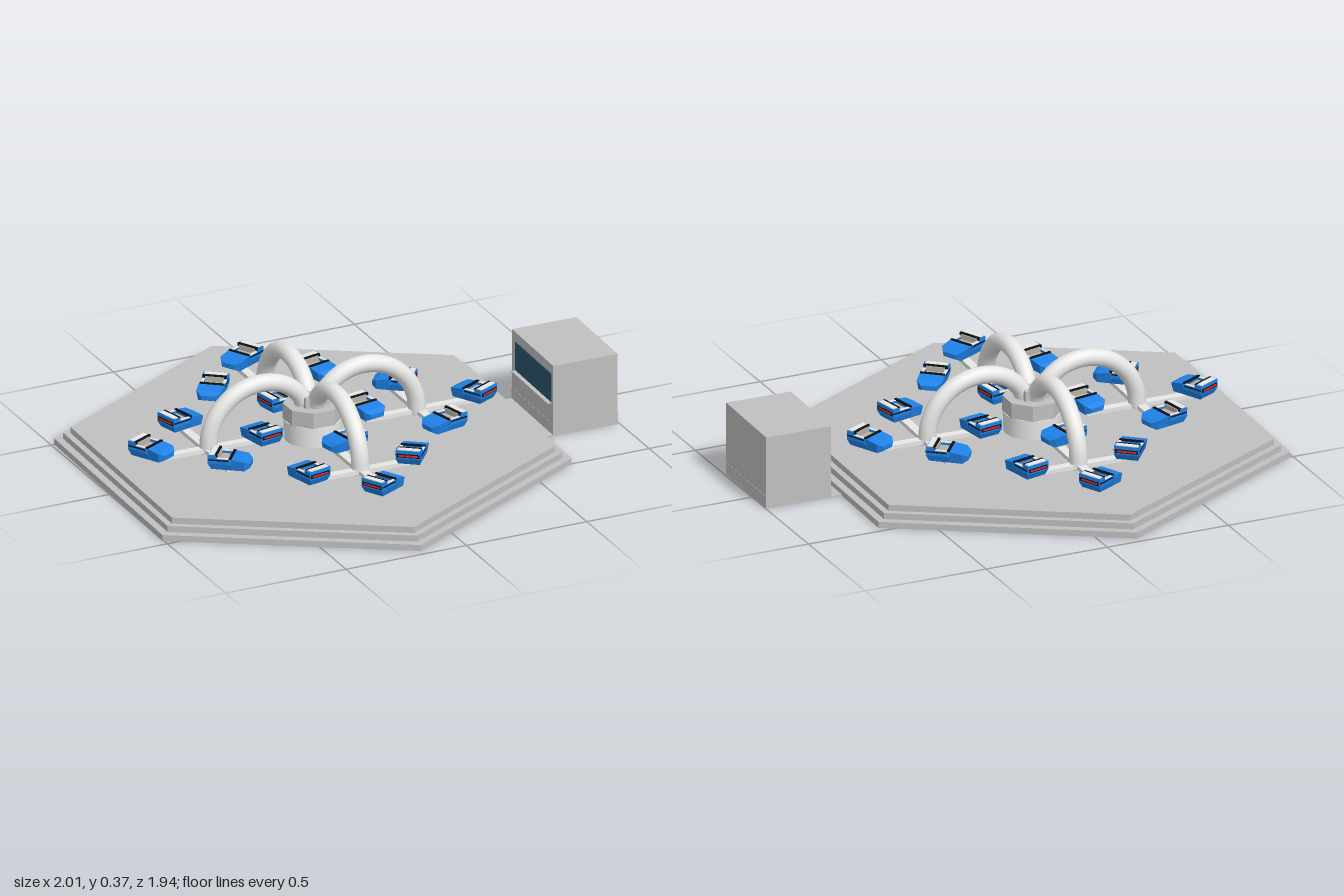
import * as THREE from 'three';

const mat = (name, color) => {
  const m = new THREE.MeshStandardMaterial({ color });
  m.name = name;
  return m;
};

export function createModel() {
  const stone = mat('platformGrey', 0xc0c0c0);
  const steel = mat('lightSteel', 0xe8e8e6);
  const blue = mat('carBlue', 0x1f84ec);
  const white = mat('trimWhite', 0xf0f0ee);
  const seatGrey = mat('seatGrey', 0xb8b2a8);
  const black = mat('black', 0x101010);
  const red = mat('lampRed', 0xe02c1c);
  const glass = mat('windowGlass', 0x2a566a);

  const add = (parent, name, geo, material, x = 0, y = 0, z = 0) => {
    const m = new THREE.Mesh(geo, material);
    m.name = name;
    m.position.set(x, y, z);
    parent.add(m);
    return m;
  };
  const box = (parent, name, w, h, d, material, x, y, z) =>
    add(parent, name, new THREE.BoxGeometry(w, h, d), material, x, y, z);
  // Few-sided prism with hard edges
  const prism = (r, h, sides) => {
    const g = new THREE.CylinderGeometry(r, r, h, sides).toNonIndexed();
    g.computeVertexNormals();
    return g;
  };
  const group = (parent, name) => {
    const g = new THREE.Group();
    g.name = name;
    parent.add(g);
    return g;
  };
  // Box whose corners are moved by a rule
  const shaped = (w, h, d, segments, rule) => {
    const g = new THREE.BoxGeometry(w, h, d, 1, 1, segments).toNonIndexed();
    const p = g.attributes.position, v = new THREE.Vector3();
    for (let i = 0; i < p.count; i++) {
      rule(v.fromBufferAttribute(p, i));
      p.setXYZ(i, v.x, v.y, v.z);
    }
    g.computeVertexNormals();
    return g;
  };

  const root = new THREE.Group();
  root.name = 'spinningRide';
  const ride = group(root, 'ride');
  ride.position.x = -0.155;
  ride.rotation.y = -0.02;

  // Three stepped hexagonal tiers
  [0.972, 0.938, 0.91].forEach((r, i) =>
    add(ride, 'platformTier', prism(r, 0.0243, 6), stone, 0, 0.0122 + i * 0.0243, 0));

  // Control booth with window, counter and threshold
  const booth = group(ride, 'controlBooth');
  booth.position.set(1.018, 0, 0.04);
  box(booth, 'boothBody', 0.265, 0.24, 0.37, stone, 0, 0.168, 0);
  box(booth, 'boothBase', 0.267, 0.048, 0.372, stone, 0, 0.024, 0);
  box(booth, 'threshold', 0.06, 0.005, 0.372, stone, -0.16, 0.0025, 0);
  box(booth, 'boothWindow', 0.006, 0.115, 0.32, glass, -0.133, 0.193, 0.012);
  box(booth, 'counter', 0.02, 0.006, 0.32, stone, -0.142, 0.132, 0.012);

  // Rotor, leaning slightly
  const rotor = group(ride, 'rotor');
  rotor.rotation.x = -0.02;
  add(rotor, 'hubDrum', new THREE.CylinderGeometry(0.108, 0.108, 0.08, 32), steel, 0, 0.11, 0);
  const hub = add(rotor, 'hubHousing', prism(0.112, 0.062, 8), stone, 0, 0.181, 0);
  hub.rotation.y = Math.PI / 8;
  box(rotor, 'hubCap', 0.1, 0.04, 0.1, stone, 0, 0.232, 0);

  // Open car, nose toward +z: blunt wedge with cut corners, then the tub
  const noseGeo = shaped(0.098, 0.046, 0.07, 2, v => {
    if (v.y < 0) v.x *= 0.85;
    if (v.z > 0.01) {
      v.x *= 0.6;
      v.y = v.y > 0 ? 0.004 : -0.014;
    } else if (v.z > -0.01) {
      v.z += 0.016;
      if (v.y > 0) v.y = 0.015;
    }
  });
  const hullGeo = shaped(0.098, 0.024, 0.09, 1, v => {
    if (v.y < 0) {
      v.x *= 0.85;
      if (v.z < 0) v.z += 0.012;
    }
  });
  const makeCar = parent => {
    const car = group(parent, 'car');
    add(car, 'carNose', noseGeo, blue, 0, 0.138, 0.043);
    add(car, 'carHull', hullGeo, blue, 0, 0.127, -0.035);
    box(car, 'seat', 0.074, 0.012, 0.046, seatGrey, 0, 0.144, -0.021);
    box(car, 'dashboard', 0.094, 0.006, 0.01, black, 0, 0.162, 0.006);
    box(car, 'seatBack', 0.072, 0.03, 0.006, seatGrey, 0, 0.154, -0.043);
    box(car, 'headrestBar', 0.092, 0.01, 0.009, black, 0, 0.169, -0.049);
    box(car, 'rearBody', 0.098, 0.034, 0.032, blue, 0, 0.155, -0.063);
    box(car, 'rearDeck', 0.086, 0.003, 0.022, white, 0, 0.1732, -0.065);
    box(car, 'rearBand', 0.088, 0.014, 0.002, black, 0, 0.152, -0.08);
    box(car, 'tailLamps', 0.076, 0.007, 0.003, red, 0, 0.152, -0.081);
    for (const s of [-1, 1]) {
      box(car, 'carSide', 0.013, 0.02, 0.05, blue, s * 0.0425, 0.149, -0.022);
      box(car, 'sideTrim', 0.011, 0.002, 0.046, white, s * 0.042, 0.16, -0.022);
      box(car, 'sideStripe', 0.002, 0.005, 0.078, black, s * 0.0492, 0.154, -0.038);
    }
    return car;
  };

  // Arch centre line, running out along -z
  const arch = new THREE.CatmullRomCurve3(
    [[0.03, 0.2], [0.055, 0.255], [0.12, 0.308], [0.215, 0.328], [0.315, 0.302],
      [0.39, 0.235], [0.422, 0.165], [0.43, 0.1]].map(([r, y]) => new THREE.Vector3(0, y, -r)));
  const archGeo = new THREE.TubeGeometry(arch, 40, 0.034, 16);

  // Cars at the cross ends: offset x, z and nose direction x, z
  const cars = [
    [0.003, -0.22, -0.88, 0.48], [-0.214, 0.002, -0.6, 0.8],
    [0.222, 0.0, 0.25, 0.97], [-0.022, 0.208, 0.98, -0.2],
  ];

  for (let i = 0; i < 4; i++) {
    const arm = group(rotor, 'arm');
    arm.rotation.y = i * Math.PI / 2;
    add(arm, 'archTube', archGeo, steel);
    const cross = group(arm, 'carCross');
    cross.position.z = -0.435;
    box(cross, 'crossBar', 0.44, 0.016, 0.034, steel, 0, 0.102, 0);
    box(cross, 'crossBar', 0.034, 0.016, 0.44, steel, 0, 0.102, 0);
    add(cross, 'spindle', new THREE.CylinderGeometry(0.025, 0.025, 0.024, 20), steel, 0, 0.098, 0);
    for (const [x, z, nx, nz] of cars) {
      const car = makeCar(cross);
      car.position.set(x, 0, z);
      car.rotation.y = Math.atan2(nx, nz);
    }
  }
  return root;
}
